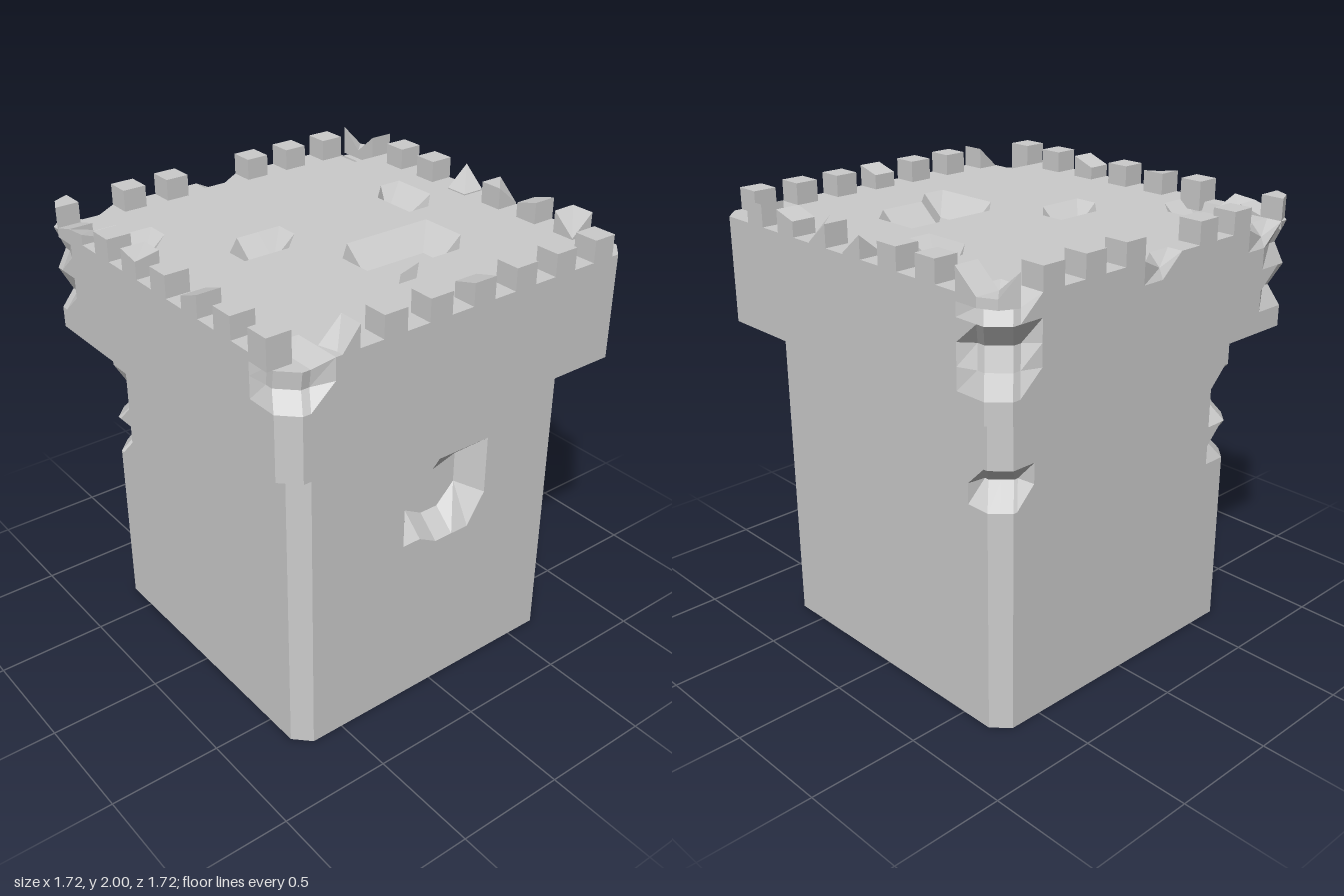
import * as THREE from 'three';

const mat = new THREE.MeshStandardMaterial({ color: 0xcccccc, flatShading: true, side: THREE.DoubleSide });

// Square block with chamfered corners and an even grid on every face.
// Each dent shifts the grid points within r of a position.
function block(name, half, chamfer, y0, y1, rows, dents) {
  const cell = half / 8;
  const line = i => {
    const k = Math.abs(i - 9), s = Math.sign(i - 9);
    return s * (k === 9 ? half : k === 8 ? half - chamfer : k * cell);
  };
  const geo = new THREE.BoxGeometry(2, 1, 2, 18, rows, 18);
  const pos = geo.attributes.position;
  for (let i = 0; i < pos.count; i++) {
    let x = line(Math.round((pos.getX(i) + 1) * 9));
    let z = line(Math.round((pos.getZ(i) + 1) * 9));
    const y = y0 + (pos.getY(i) + 0.5) * (y1 - y0);
    if (Math.abs(x) === half && Math.abs(z) === half) {
      x -= Math.sign(x) * chamfer / 2;
      z -= Math.sign(z) * chamfer / 2;
    }
    let [nx, ny, nz] = [x, y, z];
    for (const { at, by, r = 0.018 } of dents) {
      if (Math.abs(x - at[0]) < r && Math.abs(y - at[1]) < 0.03 && Math.abs(z - at[2]) < r) {
        nx += by[0]; ny += by[1]; nz += by[2];
      }
    }
    pos.setXYZ(i, nx, ny, nz);
  }
  const flat = geo.toNonIndexed();
  flat.computeVertexNormals();
  const mesh = new THREE.Mesh(flat, mat);
  mesh.name = name;
  return mesh;
}

const TOP = 1.905, HALF = 0.862, CELL = HALF / 8;

// Merlon on a grid cell; drop lowers its top corners (-x-z, +x-z, -x+z, +x+z)
function merlon(x, z, drop = [0, 0, 0, 0]) {
  const geo = new THREE.BoxGeometry(CELL, 0.13, CELL).toNonIndexed();
  const pos = geo.attributes.position;
  for (let i = 0; i < pos.count; i++) {
    const px = pos.getX(i), pz = pos.getZ(i);
    if (pos.getY(i) > 0) pos.setY(i, pos.getY(i) - drop[(px > 0 ? 1 : 0) + (pz > 0 ? 2 : 0)]);
    // trim the outer edge of a merlon standing on a chamfered corner
    const wx = x + px, wz = z + pz;
    if (Math.abs(wx) > HALF - 0.01 && Math.abs(wz) > HALF - 0.01) {
      pos.setX(i, px - Math.sign(wx) * 0.035);
      pos.setZ(i, pz - Math.sign(wz) * 0.035);
    }
  }
  geo.computeVertexNormals();
  const mesh = new THREE.Mesh(geo, mat);
  mesh.position.set(x, 2 - 0.065, z);
  mesh.name = 'merlon';
  return mesh;
}

export function createModel() {
  const group = new THREE.Group();
  group.name = 'tower';

  // Shaft: broken hole in the front, chipped back corners
  const hole = [
    [0, 1.08, -0.05], [0.09, 1.08, 0], [0.18, 1.08, 0],
    [-0.09, 0.99, 0], [0, 0.99, -0.05], [0.09, 0.99, 0], [0.18, 0.99, 0],
    [-0.09, 0.9, 0], [0, 0.9, -0.05], [0.09, 0.9, -0.05], [0.18, 0.9, 0.04],
  ].map(([x, y, dy]) => ({ at: [x, y, 0.72], by: [0, dy, -0.1] }));
  const lip = [[0, -0.05], [0.09, -0.05], [0.18, -0.05], [0.27, 0.04]]
    .map(([x, dy]) => ({ at: [x, 0.81, 0.72], by: [0, dy, 0] }));
  const shaftChips = [
    { at: [0.68, 1.08, -0.68], by: [-0.08, 0, 0.08], r: 0.06 },
    { at: [-0.68, 1.17, -0.68], by: [0.04, 0, 0.07], r: 0.06 },
    { at: [-0.68, 1.08, -0.68], by: [0.04, 0, 0.08], r: 0.06 },
    { at: [-0.68, 0.9, -0.68], by: [0.07, 0, 0.04], r: 0.06 },
  ];
  group.add(block('shaft', 0.72, 0.07, 0, 1.44, 16, [...hole, ...lip, ...shaftChips]));

  // Head: pits in the roof (grid column, grid row, sideways shift), worn corners and rim
  const pits = [
    [-3, -1], [-2, -1],
    [0, 2], [1, 2], [2, 2], [3, 2], [0, 3], [1, 3], [2, 3], [3, 3], [0, 4],
    [5, -2, -0.05], [5, -1, -0.05],
    [-7, -5], [-7, -4], [-6, -4],
  ].map(([i, k, dx = 0]) => ({ at: [i * CELL, TOP, k * CELL], by: [dx, -0.09, 0] }));
  const headChips = [
    { at: [0.81, 1.626, -0.81], by: [-0.03, 0, 0.03], r: 0.07 },
    { at: [0.81, 1.719, -0.81], by: [-0.05, 0, 0.05], r: 0.07 },
    { at: [0.81, TOP, -0.81], by: [-0.02, -0.04, 0.02], r: 0.07 },
    { at: [-0.81, 1.626, -0.81], by: [0.04, 0, 0.04], r: 0.07 },
    { at: [-0.81, 1.812, -0.81], by: [0.03, 0, 0.03], r: 0.07 },
    { at: [-0.81, 1.812, 0.81], by: [0.03, -0.02, -0.05], r: 0.07 },
    { at: [-0.81, TOP, 0.81], by: [0.03, -0.04, -0.04], r: 0.07 },
    { at: [0, TOP, -HALF], by: [0, -0.05, 0.02] },
    { at: [-6 * CELL, TOP, -HALF], by: [0, -0.05, 0.02] },
  ];
  group.add(block('head', HALF, 0.072, 1.44, TOP, 5, [...pits, ...headChips]));

  // Battlements: cell numbers -8..7 along each edge, with broken tops where worn
  const battlements = new THREE.Group();
  battlements.name = 'battlements';
  const edge = 7.5 * CELL;
  const mid = n => (n + 0.5) * CELL;
  const rows = {
    front: [[-6, [0.1, 0, 0.13, 0]], [-4], [-2], [0, [0.03, 0.03, 0, 0]], [2], [4], [6]],
    back: [[-8], [-5], [-3], [1], [3], [5], [7, [0, 0.09, 0.09, 0.09]]],
    left: [[-7, [0.09, 0.09, 0.06, 0.06]], [-6, [0.06, 0.09, 0.05, 0.09]], [-4],
      [-2, [0, 0, 0.02, 0]], [0], [2, [0.04, 0.04, 0, 0]], [4], [6]],
    right: [[-7, [0.09, 0.09, 0, 0]], [-5], [-3], [-1, [0.09, 0, 0.09, 0.09]],
      [1, [0, 0, 0, 0.09]], [3, [0.03, 0.03, 0, 0]], [5, [0, 0, 0.09, 0]]],
  };
  for (const [n, drop] of rows.front) battlements.add(merlon(mid(n), edge, drop));
  for (const [n, drop] of rows.back) battlements.add(merlon(mid(n), -edge, drop));
  for (const [n, drop] of rows.left) battlements.add(merlon(-edge, mid(n), drop));
  for (const [n, drop] of rows.right) battlements.add(merlon(edge, mid(n), drop));
  group.add(battlements);
  return group;
}
